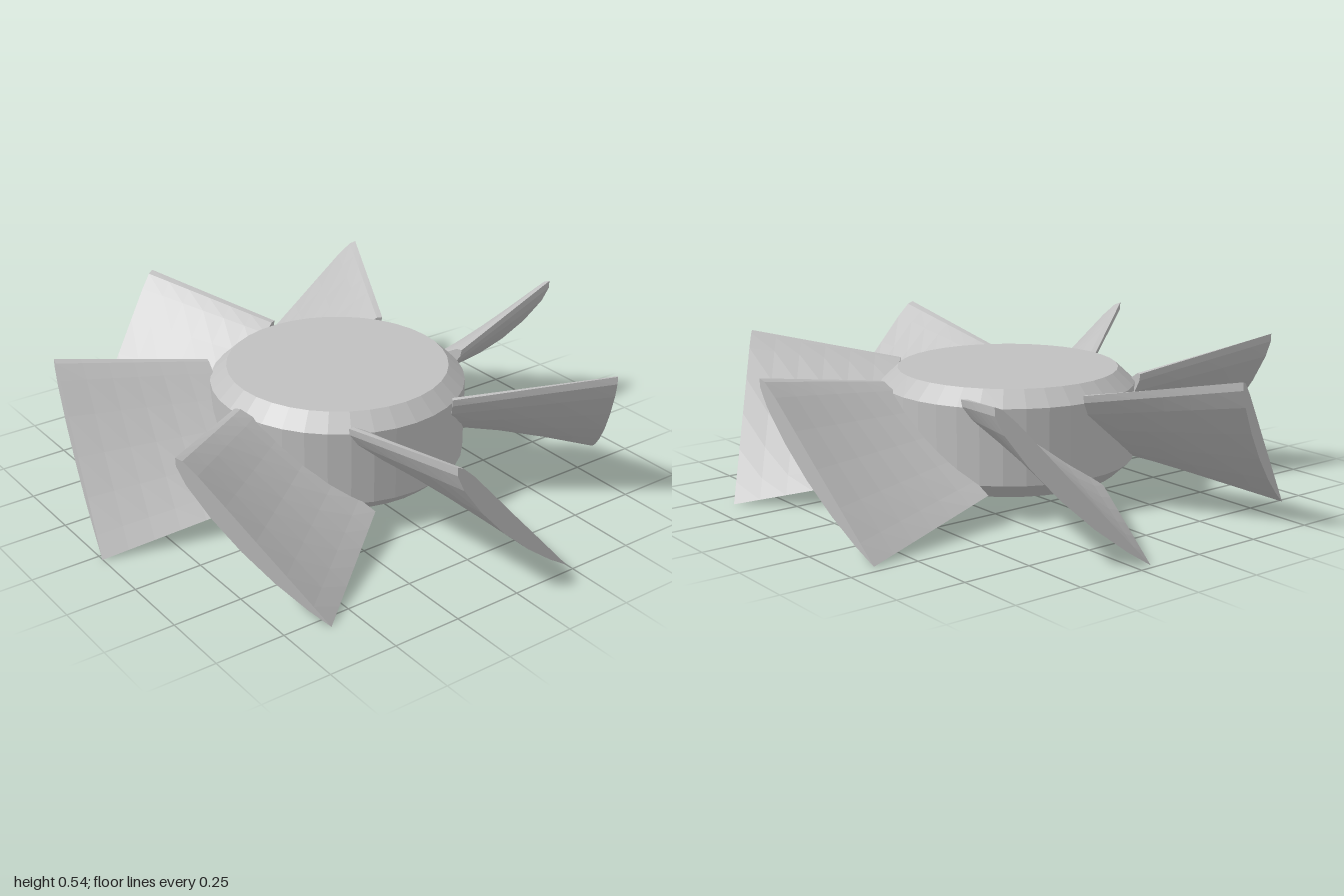
import * as THREE from 'three';

const BLADES = 7, MID = 0.268, HALF_CHORD = 0.25;
const ROOT = 0.41, TIP = 0.97, SPAN_STEPS = 6;

// Aerofoil: [fraction along chord from the high edge, upper offset, lower offset]
const SECTION = [
  [0, 0, 0], [0.03, 0.011, -0.019], [0.12, 0.015, -0.04], [0.3, 0.012, -0.056],
  [0.5, 0.008, -0.058], [0.7, 0.005, -0.046], [0.88, 0.002, -0.023], [1, 0, 0],
];

// Closed ring of points for one spanwise station; pitch steepens towards the tip
function sectionRing(t) {
  const x = THREE.MathUtils.lerp(ROOT, TIP, t);
  const rise = THREE.MathUtils.lerp(0.165, 0.268, t);
  const len = Math.hypot(HALF_CHORD, rise);
  const place = (u, off) => new THREE.Vector3(
    x,
    MID + rise * (1 - 2 * u) + off * HALF_CHORD / len,
    HALF_CHORD * (1 - 2 * u) - off * rise / len
  );
  const upper = SECTION.map(([u, up]) => place(u, up));
  const lower = SECTION.slice(1, -1).reverse().map(([u, , lo]) => place(u, lo));
  return upper.concat(lower);
}

// Twisted blade along +x, lofted between rings and capped at both ends
function bladeGeometry() {
  const rings = [];
  for (let i = 0; i <= SPAN_STEPS; i++) rings.push(sectionRing(i / SPAN_STEPS));
  const n = rings[0].length, pts = [];
  for (let r = 0; r < SPAN_STEPS; r++) {
    const a = rings[r], b = rings[r + 1];
    for (let i = 0; i < n; i++) {
      const j = (i + 1) % n;
      pts.push(a[i], b[i], a[j], a[j], b[i], b[j]);
    }
  }
  const centre = (ring) =>
    ring.reduce((s, p) => s.add(p), new THREE.Vector3()).divideScalar(n);
  const first = rings[0], last = rings[SPAN_STEPS];
  const c0 = centre(first), c1 = centre(last);
  for (let i = 0; i < n; i++) {
    const j = (i + 1) % n;
    pts.push(c0, first[i], first[j], c1, last[j], last[i]);
  }
  const geo = new THREE.BufferGeometry().setFromPoints(pts);
  geo.computeVertexNormals();
  return geo;
}

export function createModel() {
  const group = new THREE.Group();
  group.name = 'fanRotor';

  const metal = new THREE.MeshStandardMaterial({ color: 0xc0c0c0 });
  metal.name = 'light grey';
  metal.flatShading = true;

  // Hub: drum with bevelled rims
  const profile = [[0, 0.075], [0.4, 0.075], [0.46, 0.13], [0.46, 0.4], [0.4, 0.456], [0, 0.456]]
    .map(([r, y]) => new THREE.Vector2(r, y));
  const hub = new THREE.Mesh(new THREE.LatheGeometry(profile, 36), metal);
  hub.name = 'hub';
  group.add(hub);

  // Blades evenly spaced around the hub
  const geo = bladeGeometry();
  for (let i = 0; i < BLADES; i++) {
    const blade = new THREE.Mesh(geo, metal);
    blade.name = `blade${i + 1}`;
    blade.rotation.y = (i * Math.PI * 2) / BLADES;
    group.add(blade);
  }
  return group;
}
